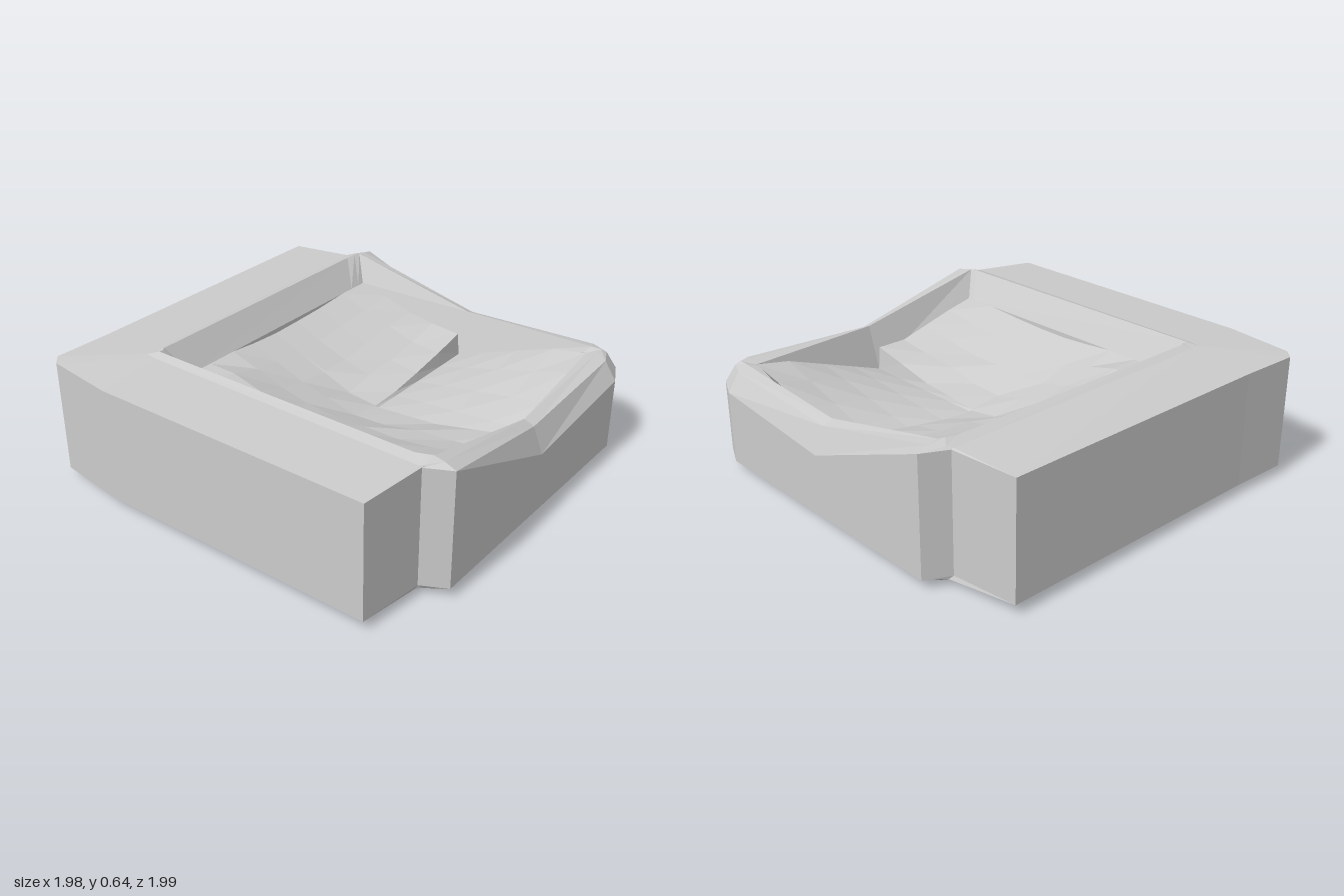
import * as THREE from 'three';

const material = new THREE.MeshStandardMaterial({ color: 0xcccccc, flatShading: true, side: THREE.DoubleSide });

// Faceted mesh from a list of corner triples
function facets(name, points) {
  const geometry = new THREE.BufferGeometry();
  geometry.setAttribute('position', new THREE.Float32BufferAttribute(points.flat(), 3));
  geometry.computeVertexNormals();
  const mesh = new THREE.Mesh(geometry, material);
  mesh.name = name;
  return mesh;
}

// Joins successive closed rings with quads
function loft(name, rings) {
  const out = [];
  for (let k = 0; k < rings.length - 1; k++) {
    const a = rings[k], b = rings[k + 1];
    for (let i = 0; i < a.length; i++) {
      const j = (i + 1) % a.length;
      out.push(a[i], a[j], b[j], a[i], b[j], b[i]);
    }
  }
  return facets(name, out);
}

// Height of the sunken floor: three rough quarters and one smooth tilted panel
function floorHeight(x, z) {
  const u = (x - 0.095) / 0.68, v = (z - 0.095) / 0.68;
  if (u > 0 && v > 0) return 0.27 + 0.23 * Math.min(1, u * v);
  const a = u < 0 ? -u : u * 0.5;
  const b = v < 0 ? -v : v * 0.5;
  const d = Math.min(1, Math.hypot(a, b));
  const rough = 0.018 * Math.sin(x * 19 + z * 7) * Math.sin(z * 17 - x * 5);
  return 0.27 + 0.24 * Math.pow(d, 1.2) + rough * (1 - d);
}

// Each station: outer edge, bevel edge, rim (all x, z, y) and floor edge (x, z)
const half = [
  [[-0.99, -0.59, 0.61], [-0.66, -0.6, 0.63], [-0.62, -0.58, 0.645], [-0.53, -0.5]],
  [[-0.99, 0.83, 0.61], [-0.67, 0.86, 0.625], [-0.62, 0.8, 0.64], [-0.53, 0.72]],
  [[-0.67, 0.87, 0.62], [-0.65, 0.88, 0.63], [-0.61, 0.85, 0.645], [-0.53, 0.78]],
  [[-0.61, 0.99, 0.62], [-0.6, 0.93, 0.635], [-0.6, 0.88, 0.645], [-0.53, 0.82]],
  [[0.1, 0.99, 0.345], [0.1, 0.94, 0.47], [0.1, 0.89, 0.49], [0.1, 0.82]],
  [[0.8, 0.99, 0.41], [0.8, 0.93, 0.5], [0.82, 0.87, 0.515], [0.8, 0.82]],
];
const backCorner = [
  [[-0.89, -1, 0.61], [-0.62, -0.66, 0.63], [-0.6, -0.61, 0.645], [-0.5, -0.53]],
  [[-0.94, -0.95, 0.61], [-0.65, -0.66, 0.63], [-0.62, -0.61, 0.645], [-0.53, -0.53]],
];
const frontCorner = [[0.93, 0.93, 0.41], [0.89, 0.89, 0.5], [0.87, 0.87, 0.515], [0.82, 0.82]];

export function createModel() {
  const group = new THREE.Group();
  group.name = 'basin';

  // Mirror the stations across the diagonal to close the outline
  const mirrored = half.map(s => s.map(([x, z, y]) => [z, x, y])).reverse();
  const stations = [...backCorner, ...half, frontCorner, ...mirrored];
  const ring = (k, y) => stations.map(s => {
    const [x, z, h] = s[k];
    return [x, y ?? h ?? floorHeight(x, z), z];
  });

  // Underside plate and its bevel
  const plate = ring(2, 0);
  const under = [];
  plate.forEach((p, i) => under.push([0.12, 0, 0.12], plate[(i + 1) % plate.length], p));
  group.add(facets('underside', under));
  group.add(loft('lowerBevel', [plate, ring(1, 0.028), ring(0, 0.05)]));

  // Outer sides, rim and inner walls
  group.add(loft('outerWall', [ring(0, 0.05), ring(0)]));
  group.add(loft('rim', [ring(0), ring(1), ring(2)]));
  group.add(loft('innerWall', [ring(2), ring(3), ring(3, 0.2)]));

  // Faceted floor; the close pair of grid lines makes the step between the quarters
  const lines = [-0.53, -0.38, -0.22, -0.07, 0.09, 0.1, 0.26, 0.44, 0.64, 0.82];
  const at = (i, j) => [lines[i], floorHeight(lines[i], lines[j]), lines[j]];
  const floor = [];
  for (let i = 0; i < lines.length - 1; i++) {
    for (let j = 0; j < lines.length - 1; j++) {
      const a = at(i, j), b = at(i, j + 1), c = at(i + 1, j + 1), d = at(i + 1, j);
      floor.push(a, b, c, a, c, d);
    }
  }
  group.add(facets('floor', floor));
  return group;
}
